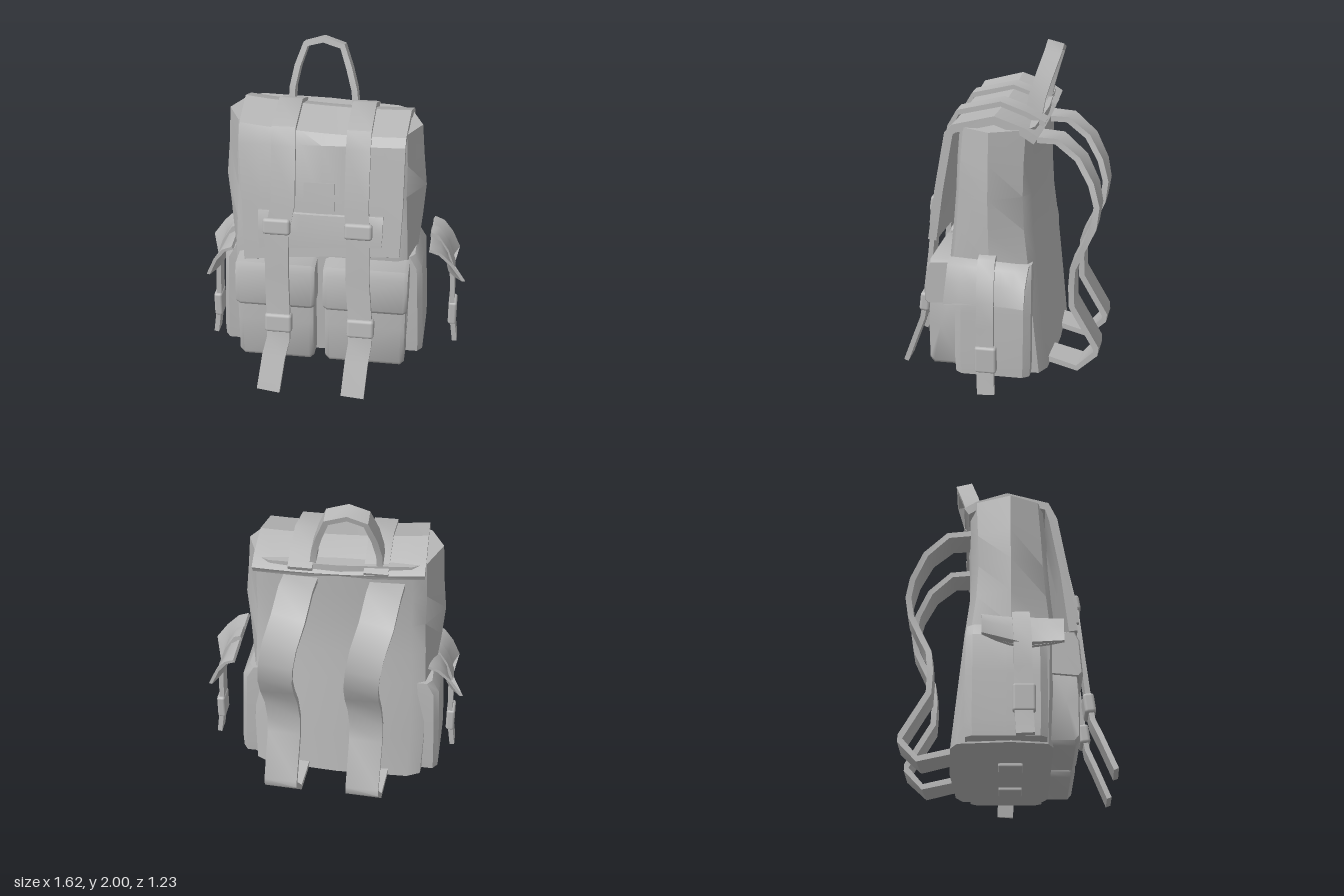
import * as THREE from 'three';
import { toCreasedNormals } from 'three/addons/utils/BufferGeometryUtils.js';
import { RoundedBoxGeometry } from 'three/addons/geometries/RoundedBoxGeometry.js';

const V = (x, y, z) => new THREE.Vector3(x, y, z);

// Closed solid through a list of rings with equal point counts; winding is fixed by volume
function loft(rings, crease = 0.7) {
  const n = rings[0].length, pos = [], idx = [];
  rings.forEach(r => r.forEach(p => pos.push(p.x, p.y, p.z)));
  for (let i = 0; i < rings.length - 1; i++) for (let j = 0; j < n; j++) {
    const a = i * n + j, b = i * n + (j + 1) % n;
    idx.push(a, b, b + n, a, b + n, a + n);
  }
  [0, rings.length - 1].forEach((k, end) => {
    const c = rings[k].reduce((s, p) => s.add(p), V(0, 0, 0)).divideScalar(n);
    const ci = pos.length / 3;
    pos.push(c.x, c.y, c.z);
    for (let j = 0; j < n; j++) {
      const a = k * n + j, b = k * n + (j + 1) % n;
      end ? idx.push(ci, a, b) : idx.push(ci, b, a);
    }
  });
  const at = i => V(pos[3 * i], pos[3 * i + 1], pos[3 * i + 2]);
  let vol = 0;
  for (let i = 0; i < idx.length; i += 3) vol += at(idx[i]).dot(at(idx[i + 1]).cross(at(idx[i + 2])));
  if (vol < 0) idx.reverse();
  const g = new THREE.BufferGeometry();
  g.setAttribute('position', new THREE.Float32BufferAttribute(pos, 3));
  g.setIndex(idx);
  return toCreasedNormals(g, crease);
}

// Flat webbing along a path of [x, y, z, width]; warp bends it by (u across, t along)
function ribbon(path, side, thick, across = 1, warp = null, crease = 0.7) {
  const P = path.map(p => V(p[0], p[1], p[2]));
  const rings = P.map((p, i) => {
    const t = P[Math.min(i + 1, P.length - 1)].clone().sub(P[Math.max(i - 1, 0)]).normalize();
    const w = side.clone().addScaledVector(t, -side.dot(t)).normalize();
    const nrm = t.clone().cross(w);
    const ring = [];
    for (const s of [1, -1]) for (let k = 0; k <= across; k++) {
      const u = s * (2 * k / across - 1);
      const q = p.clone().addScaledVector(w, u * path[i][3] / 2).addScaledVector(nrm, s * thick / 2);
      if (warp) warp(q, u, i / (P.length - 1));
      ring.push(q);
    }
    return ring;
  });
  return loft(rings, crease);
}

// Padded slab: a [z, y] outline carried along x with softened ends
function padded(outline, x0, x1, r = 0.025) {
  const cz = outline.reduce((s, p) => s + p[0], 0) / outline.length;
  const cy = outline.reduce((s, p) => s + p[1], 0) / outline.length;
  return loft([[x0, 0.9], [x0 + r, 1], [x1 - r, 1], [x1, 0.9]].map(([x, k]) =>
    outline.map(([z, y]) => V(x, cy + (y - cy) * k, cz + (z - cz) * k))), 0.8);
}

export function createModel() {
  const root = new THREE.Group();
  root.name = 'backpack';
  const canvas = new THREE.MeshStandardMaterial({ color: 0xb6b6b6 });
  canvas.name = 'grey canvas';
  const add = (name, geo, parent = root) => {
    const m = new THREE.Mesh(geo, canvas);
    m.name = name;
    parent.add(m);
    return m;
  };
  const X = V(1, 0, 0), Z = V(0, 0, 1);
  const box = (name, w, h, d, x, y, z, rx = 0, parent = root) => {
    const m = add(name, new RoundedBoxGeometry(w, h, d, 2, Math.min(w, h, d) * 0.3), parent);
    m.position.set(x, y, z);
    m.rotation.x = rx;
    return m;
  };

  // Main bag: y, corner half width, side half width, front z, back z
  const body = [
    [0.11, 0.52, 0.55, 0.25, -0.31], [0.4, 0.53, 0.56, 0.26, -0.28], [0.8, 0.52, 0.57, 0.27, -0.24],
    [1.0, 0.51, 0.59, 0.25, -0.215], [1.2, 0.5, 0.605, 0.235, -0.205], [1.4, 0.5, 0.585, 0.225, -0.21],
    [1.61, 0.49, 0.57, 0.21, -0.22]];
  add('mainBag', loft(body.map(([y, c, s, f, b]) => [
    [s, 0.02], [c, f - 0.03], [c - 0.06, f], [0, f], [-c + 0.06, f], [-c, f - 0.03],
    [-s, 0.02], [-c, b + 0.04], [-c + 0.08, b], [0, b - 0.02], [c - 0.08, b], [c, b + 0.04]
  ].map(([x, z]) => V(x - 0.06, y - (y > 1.5 ? 0.04 * x : 0), z))), 0.6));

  // Lid folded over the top and down the front
  add('lid', ribbon([
    [-0.05, 1.555, -0.24, 0.99], [-0.05, 1.6, -0.17, 0.99], [-0.05, 1.66, 0, 0.98], [-0.05, 1.6, 0.235, 0.96],
    [-0.05, 1.54, 0.268, 0.96], [-0.04, 1.2, 0.33, 0.94], [-0.04, 0.87, 0.375, 0.92]],
    X, 0.05, 8, (q, u, t) => {
      q.y += t > 0.9 ? 0.04 * u - 0.012 * u * u : t < 0.6 ? -0.02 * u - 0.02 * (1 - u * u) : 0;
    }, 0.5));
  add('badge', ribbon([[-0.055, 1.33, 0.336, 0.18], [-0.055, 1.25, 0.352, 0.18], [-0.05, 1.16, 0.366, 0.17]], X, 0.02));
  add('lidPanel', ribbon([
    [-0.045, 1.15, 0.366, 0.73], [-0.045, 1.04, 0.39, 0.73], [-0.045, 0.94, 0.4, 0.72]],
    X, 0.03, 6, (q, u, t) => { q.y += 0.025 * u * t - 0.015 * (1 - u * u) * (1 - t); }));

  // Front straps with two keepers each: lateral positions from top to tip
  [[-0.27, -0.265, -0.30, -0.29, -0.34], [0.165, 0.165, 0.18, 0.205, 0.175]].forEach(([a, b, c, d, e]) => {
    add('frontStrap', ribbon([
      [a, 1.575, -0.255, 0.14], [a, 1.63, -0.15, 0.14], [a, 1.685, 0, 0.14], [a, 1.625, 0.255, 0.14], [b, 1.54, 0.302, 0.14],
      [b, 1.2, 0.368, 0.14], [c, 1.0, 0.403, 0.14], [c, 0.75, 0.428, 0.14], [d, 0.45, 0.462, 0.14],
      [d, 0.33, 0.482, 0.14], [(d + e) / 2, 0.22, 0.525, 0.14], [e, 0.02, 0.6, 0.14]], X, 0.03));
    box('upperKeeper', 0.165, 0.1, 0.065, c, 1.06, 0.393, -0.15);
    box('lowerKeeper', 0.165, 0.12, 0.065, d, 0.435, 0.464, -0.12);
    box('bottomTab', 0.13, 0.03, 0.14, a + 0.07, 0.105, 0.02);
  });

  // Twin front pockets with puffed flaps
  [[-0.55, -0.09], [-0.02, 0.465]].forEach(([x0, x1]) => {
    add('frontPocket', padded([[0.2, 0.12], [0.37, 0.12], [0.395, 0.15], [0.398, 0.4], [0.38, 0.7], [0.2, 0.72]], x0, x1));
    add('pocketFlap', padded([[0.21, 0.64], [0.24, 0.52], [0.4, 0.505], [0.42, 0.53], [0.405, 0.74], [0.38, 0.79], [0.22, 0.8]],
      x0 - 0.01, x1 + 0.01));
  });

  // Side pockets: y, outer reach, half depth
  for (const s of [1, -1]) {
    add('sidePocket', loft([[0.12, 0.625, 0.22], [0.2, 0.627, 0.225], [0.5, 0.615, 0.225], [0.72, 0.605, 0.225], [0.8, 0.56, 0.22]]
      .map(([y, x, d]) => [[0.45, d], [x - 0.03, d], [x, d - 0.04], [x, 0], [x, -d + 0.04], [x - 0.03, -d], [0.45, -d]]
        .map(([px, z]) => V(-0.06 + s * px, y, z - 0.005))), 0.6));
  }

  // Side flaps and their hanging straps, turned half round for the other side
  for (const s of [1, -1]) {
    const g = new THREE.Group();
    g.name = 'sideClosure';
    root.add(g);
    add('sideFlap', ribbon([[0.59, 0.85, 0, 0.46], [0.64, 0.82, 0, 0.46], [0.68, 0.74, 0, 0.45], [0.7, 0.625, 0, 0.45]],
      Z, 0.02, 6, (q, u, t) => {
        q.x += (u > 0 ? 0.1 : 0.05) * u * u * t * t;
        q.y += 0.025 * Math.abs(u) * t + 0.012 * u;
      }), g);
    add('sideStrap', ribbon([
      [0.585, 0.875, 0.01, 0.1], [0.62, 0.865, 0.01, 0.1], [0.68, 0.77, 0.005, 0.1], [0.722, 0.65, 0, 0.1], [0.73, 0.5, 0, 0.1],
      [0.735, 0.3, 0, 0.1], [0.76, 0.1, -0.01, 0.1]], Z, 0.03), g);
    box('sideKeeper', 0.052, 0.16, 0.125, 0.738, 0.31, -0.005, 0, g);
    if (s < 0) {
      g.rotation.y = Math.PI;
      g.position.z = 0.085;
    }
  }

  // Shoulder straps: [y, z, sideways drift]
  const shoulder = [[1.49, -0.2, 0], [1.485, -0.34, 0.01], [1.38, -0.47, 0.03], [1.24, -0.55, 0.07], [1.12, -0.58, 0.09],
    [1.0, -0.565, 0.1], [0.88, -0.51, 0.1], [0.75, -0.45, 0.09], [0.63, -0.44, 0.08], [0.5, -0.445, 0.08],
    [0.24, -0.595, 0.08], [0.21, -0.595, 0.08], [0.1, -0.49, 0.07], [0.145, -0.28, 0.05]];
  for (const x of [-0.335, 0.165]) {
    add('shoulderStrap', ribbon(shoulder.map(([y, z, d]) => [x + d, y, z, 0.2]), X, 0.035));
  }

  // Carry handle
  add('carryHandle', ribbon([
    [-0.29, 1.58, -0.17, 0.1], [-0.285, 1.7, -0.19, 0.1], [-0.26, 1.82, -0.225, 0.1], [-0.215, 1.945, -0.265, 0.1],
    [-0.11, 1.977, -0.265, 0.1], [0.005, 1.94, -0.265, 0.1], [0.05, 1.82, -0.225, 0.1], [0.085, 1.7, -0.19, 0.1],
    [0.1, 1.58, -0.17, 0.1]], V(0, 0.25, 1), 0.035));

  return root;
}
